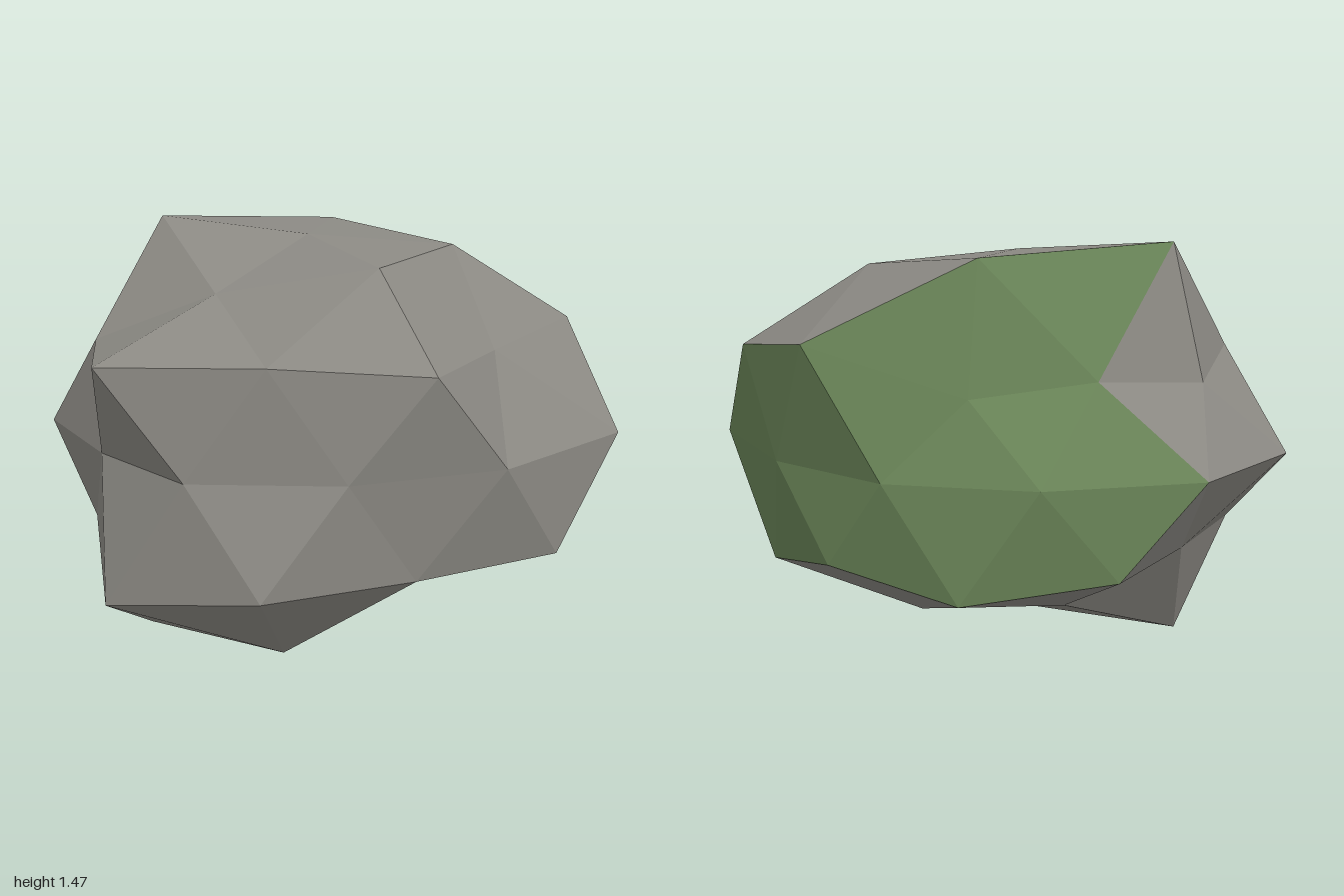
import * as THREE from 'three';

// Each row is a ring of a once-subdivided icosahedron around the y axis:
// start angle in degrees, height and the radial lengths of its vertices.
const RINGS = {
  top: [0, 1, [0.70]],
  crown: [0, 0.851, [0.764, 0.75, 0.63, 0.87, 0.825]],
  upper: [0, 0.447, [0.828, 0.765, 0.81, 0.615, 0.59]],
  upperMid: [36, 0.526, [0.64, 0.71, 0.67, 0.59, 0.82]],
  belt: [18, 0, [0.858, 0.705, 0.635, 0.655, 0.60, 0.733, 0.707, 0.64, 0.64, 0.68]],
  lower: [36, -0.447, [0.826, 0.80, 0.66, 0.713, 0.71]],
  lowerMid: [0, -0.526, [0.795, 0.705, 0.845, 0.593, 0.738]],
  foot: [36, -0.851, [0.59, 0.80, 0.858, 0.60, 0.645]],
  bottom: [0, -1, [0.62]],
};

// Vertices inside or on the edge of the moss patch
const MOSS = {
  crown: [3, 4], upper: [0, 4], upperMid: [3, 4], belt: [0, 6, 7, 8, 9],
  lower: [3, 4], lowerMid: [0, 4],
};

const CENTRE = new THREE.Vector3(-0.08, 0.73, -0.02);
const STRETCH = new THREE.Vector3(1.32, 1, 1.14);

function makeRing(name) {
  const [start, height, lengths] = RINGS[name];
  const r = Math.sqrt(1 - height * height);
  return lengths.map((length, i) => {
    const a = THREE.MathUtils.degToRad(start + (i * 360) / lengths.length);
    const point = new THREE.Vector3(r * Math.cos(a), height, r * Math.sin(a))
      .multiplyScalar(length).multiply(STRETCH).add(CENTRE);
    return { point, mossy: (MOSS[name] || []).includes(i) };
  });
}

function makeMesh(name, points, material) {
  const geometry = new THREE.BufferGeometry().setFromPoints(points);
  geometry.computeVertexNormals(); // unshared corners give flat facets
  const mesh = new THREE.Mesh(geometry, material);
  mesh.name = name;
  return mesh;
}

export function createModel() {
  const stone = new THREE.MeshStandardMaterial({ color: 0x8b8983 });
  stone.name = 'stone grey';
  const moss = new THREE.MeshStandardMaterial({ color: 0x6a8558 });
  moss.name = 'moss green';

  const v = {};
  for (const name of Object.keys(RINGS)) v[name] = makeRing(name);
  const stonePoints = [];
  const mossPoints = [];

  const face = (...corners) => {
    const target = corners.every((c) => c.mossy) ? mossPoints : stonePoints;
    target.push(...corners.map((c) => c.point));
  };
  // One icosahedron face split in four
  const split = (a, b, c, ab, bc, ca) => {
    face(a, ab, ca);
    face(b, bc, ab);
    face(c, ca, bc);
    face(ab, bc, ca);
  };

  for (let k = 0; k < 5; k++) {
    const n = (k + 1) % 5;
    split(v.top[0], v.upper[n], v.upper[k], v.crown[n], v.upperMid[k], v.crown[k]);
    split(v.upper[k], v.upper[n], v.lower[k], v.upperMid[k], v.belt[2 * k + 1], v.belt[2 * k]);
    split(v.lower[k], v.upper[n], v.lower[n], v.belt[2 * k + 1], v.belt[2 * n], v.lowerMid[n]);
    split(v.bottom[0], v.lower[k], v.lower[n], v.foot[k], v.lowerMid[n], v.foot[n]);
  }

  const group = new THREE.Group();
  group.name = 'mossyRock';
  group.add(makeMesh('rock', stonePoints, stone), makeMesh('mossPatch', mossPoints, moss));
  return group;
}
